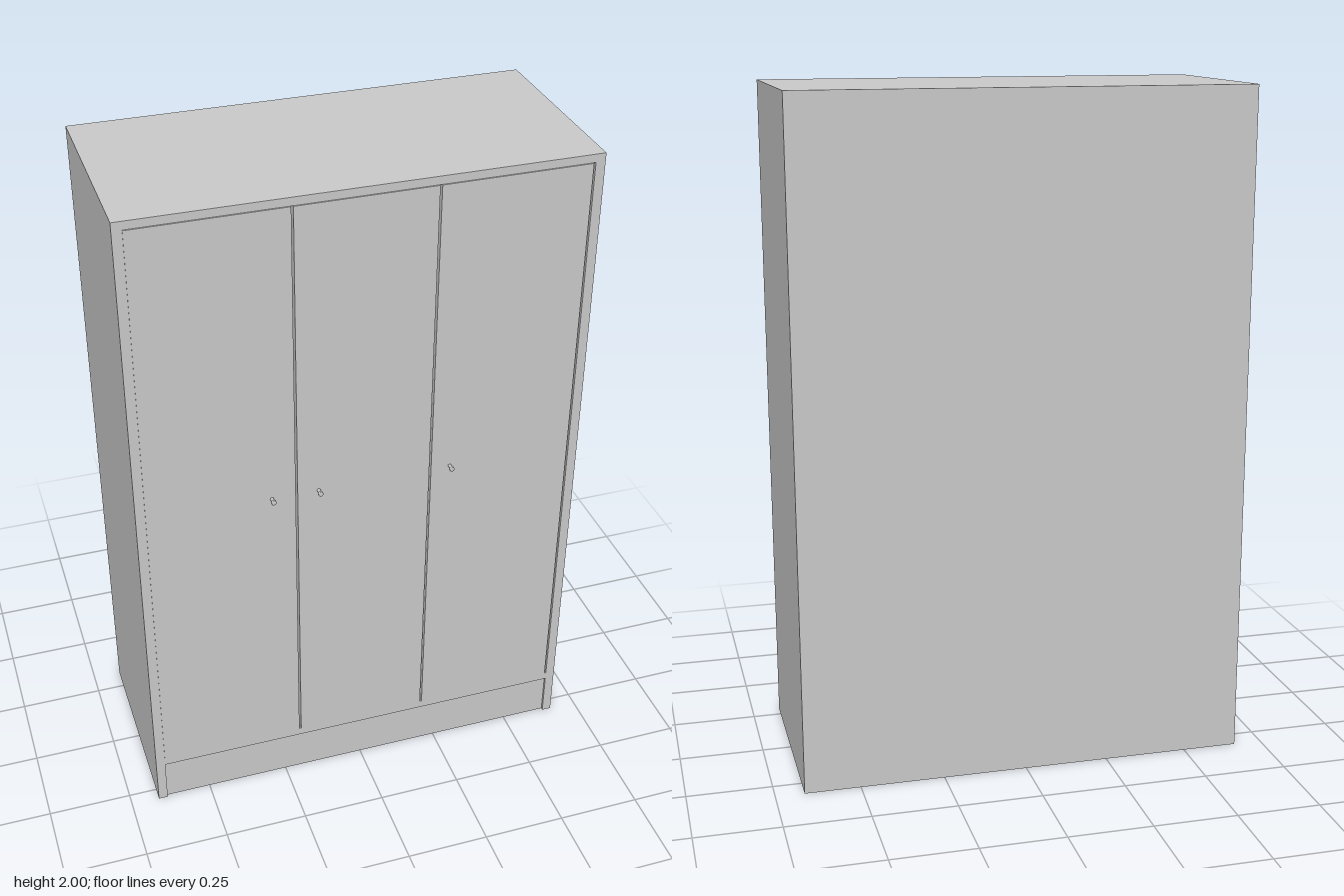
import * as THREE from 'three';

const material = new THREE.MeshStandardMaterial({ color: 0xcccccc });

// Box given by its minimum and maximum corners
function panel(name, [x0, y0, z0], [x1, y1, z1]) {
  const mesh = new THREE.Mesh(new THREE.BoxGeometry(x1 - x0, y1 - y0, z1 - z0), material);
  mesh.position.set((x0 + x1) / 2, (y0 + y1) / 2, (z0 + z1) / 2);
  mesh.name = name;
  return mesh;
}

// Small turned knob standing out from a door
function knob(x, y, z) {
  const profile = [[0.005, 0], [0.005, 0.013], [0.0075, 0.016], [0.0075, 0.022], [0.006, 0.024], [0, 0.024]]
    .map(([r, h]) => new THREE.Vector2(r, h));
  const mesh = new THREE.Mesh(new THREE.LatheGeometry(profile, 20), material);
  mesh.rotation.x = Math.PI / 2;
  mesh.position.set(x, y, z);
  mesh.name = 'knob';
  return mesh;
}

export function createModel() {
  const wardrobe = new THREE.Group();
  wardrobe.name = 'wardrobe';

  const W = 0.665, H = 2, BACK = -0.317, FRONT = 0.291;
  const T = 0.028, IN = W - T, FLOOR = 0.14, DOOR_FRONT = 0.293;

  // Carcass
  wardrobe.add(
    panel('rightSide', [-W, 0, BACK], [-IN, H, FRONT]),
    panel('leftSide', [IN, 0, BACK], [W, H, FRONT]),
    panel('top', [-IN, H - 0.024, BACK], [IN, H, FRONT]),
    panel('floor', [-IN, FLOOR, BACK], [IN, 0.165, FRONT]),
    panel('back', [-IN, 0.165, BACK], [IN, H - 0.024, BACK + 0.012]),
    panel('plinth', [-IN, 0, BACK], [IN, FLOOR, FRONT - 0.008]),
  );

  // Inner partitions behind the door joints
  for (const x of [-0.202, 0.2]) {
    wardrobe.add(panel('partition', [x - 0.012, 0.165, BACK + 0.012], [x + 0.012, H - 0.024, 0.265]));
  }

  // Doors with narrow gaps between them, each with one knob
  const doors = [
    { name: 'rightDoor', x0: -IN, x1: -0.205, knobX: -0.275 },
    { name: 'middleDoor', x0: -0.199, x1: 0.197, knobX: -0.137 },
    { name: 'leftDoor', x0: 0.203, x1: 0.631, knobX: 0.26 },
  ];
  for (const { name, x0, x1, knobX } of doors) {
    const door = new THREE.Group();
    door.name = name;
    door.add(
      panel('doorPanel', [x0, 0.166, 0.268], [x1, H - 0.025, DOOR_FRONT]),
      knob(knobX, 1.078, DOOR_FRONT),
    );
    wardrobe.add(door);
  }

  return wardrobe;
}
